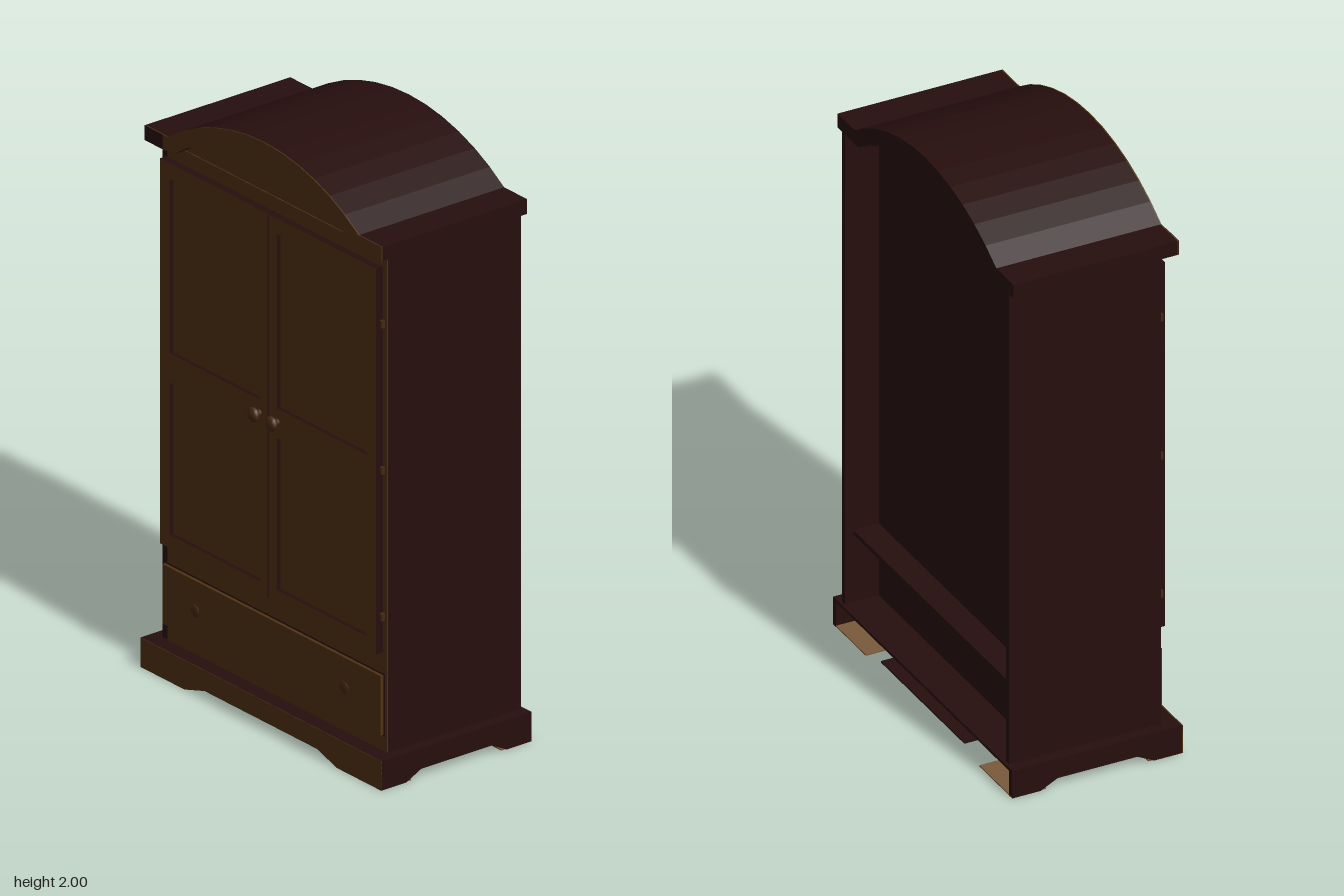
import * as THREE from 'three';

const mat = (name, color) => {
  const m = new THREE.MeshStandardMaterial({ color });
  m.name = name;
  return m;
};

export function createModel() {
  const wood = mat('golden brown wood', 0x4e3011);
  const dark = mat('dark red wood', 0x270e0e);
  const light = mat('pale foot wood', 0x7a5a3c);
  const knobWood = mat('knob wood', 0x452813);
  const root = new THREE.Group();

  const add = (name, geo, material, parent = root) => {
    const mesh = new THREE.Mesh(geo, material);
    mesh.name = name;
    parent.add(mesh);
    return mesh;
  };
  // Box given by its minimum and maximum corners
  const box = (name, a, b, material, parent = root) => {
    const g = new THREE.BoxGeometry(b[0] - a[0], b[1] - a[1], b[2] - a[2]);
    g.translate((a[0] + b[0]) / 2, (a[1] + b[1]) / 2, (a[2] + b[2]) / 2);
    return add(name, g, material, parent);
  };
  const poly = (pts) => new THREE.Shape(pts.map(([x, y]) => new THREE.Vector2(x, y)));
  const rect = (x0, y0, x1, y1) => poly([[x0, y0], [x1, y0], [x1, y1], [x0, y1]]);
  const extrude = (shape, z0, z1) =>
    new THREE.ExtrudeGeometry(shape, { depth: z1 - z0, bevelEnabled: false }).translate(0, 0, z0);

  // Carcass: closed core with side walls running on behind the back panel
  box('carcass', [-0.56, 0.1, -0.17], [0.56, 1.8, 0.24], dark);
  for (const s of [-1, 1]) {
    const x = s * 0.55;
    box('sideWall', [x - 0.01, 0.1, -0.29], [x + 0.01, 1.8, -0.17], dark);
  }
  box('backRail', [-0.54, 0.345, -0.26], [0.54, 0.36, -0.17], dark);
  box('frontFrame', [-0.535, 0.1, 0.24], [0.56, 1.8, 0.244], wood);
  box('leftEdgeStrip', [-0.56, 0.1, 0.24], [-0.535, 1.8, 0.244], dark);

  // Plinth: shaped skirts on three sides, open at the back
  const skirt = (w, foot, notch) => poly([
    [-w, 0], [-foot, 0], [-notch, 0.03], [notch, 0.03], [foot, 0], [w, 0], [w, 0.1], [-w, 0.1],
  ]);
  add('frontSkirt', extrude(skirt(0.6, 0.38, 0.28), 0.275, 0.296), dark);
  add('frontSkirtFace', extrude(skirt(0.6, 0.38, 0.28), 0.296, 0.3), wood);
  for (const s of [-1, 1]) {
    const g = extrude(skirt(0.3, 0.2, 0.14), -0.01, 0.01).rotateY(Math.PI / 2);
    add('sideSkirt', g, dark).position.x = s * 0.59;
    box('plinthUndersideEnd', [s > 0 ? 0.28 : -0.58, 0.03, -0.14], [s > 0 ? 0.58 : -0.28, 0.035, 0.14], dark);
    for (const t of [-1, 1]) {
      box('footPad', [s > 0 ? 0.38 : -0.598, 0.001, t > 0 ? 0.18 : -0.3],
        [s > 0 ? 0.598 : -0.38, 0.005, t > 0 ? 0.298 : -0.18], light);
    }
  }
  box('plinthUnderside', [-0.28, 0.03, -0.3], [0.28, 0.035, 0.275], dark);
  box('plinthTop', [-0.6, 0.09, -0.3], [0.6, 0.1, 0.298], dark);

  // Crown: cornice ends joined by a hollow arch, with a recessed infill
  const arc = (halfWidth, yEnd, yTop, n) => {
    const rise = yTop - yEnd;
    const r = (halfWidth * halfWidth + rise * rise) / (2 * rise);
    const a = Math.asin(halfWidth / r);
    return Array.from({ length: n + 1 }, (_, i) => {
      const t = a - (2 * a * i) / n;
      return [r * Math.sin(t), yTop - r + r * Math.cos(t)];
    });
  };
  const outer = arc(0.475, 1.85, 2, 12);
  const inner = arc(0.45, 1.8, 1.945, 12);
  const crown = poly([
    [0.59, 1.8], [0.59, 1.85], ...outer, [-0.59, 1.85], [-0.59, 1.8], ...inner.slice().reverse(),
  ]);
  add('crown', extrude(crown, -0.29, 0.286), dark);
  add('crownFace', extrude(crown, 0.286, 0.29), wood);
  box('crownLeftEnd', [-0.59, 1.8, 0.29], [-0.5, 1.85, 0.2915], dark);
  add('archInfill', extrude(poly(inner), 0.236, 0.24), [wood, dark]);
  add('archInfillBack', extrude(poly(inner), 0.23, 0.236), dark);

  // Turned knob pointing forwards
  const knob = (name, x, y, z, r, length, material) => {
    const profile = [[0.5, 0], [0.45, 0.4], [0.95, 0.55], [1, 0.75], [0.7, 0.95], [0, 1]];
    const g = new THREE.LatheGeometry(
      profile.map(([a, b]) => new THREE.Vector2(a * r, b * length)), 16).rotateX(Math.PI / 2);
    add(name, g, material).position.set(x, y, z);
  };

  // Doors: frames with two sunken panels each
  for (const s of [-1, 1]) {
    const span = (a, b) => (s > 0 ? [a, b] : [-b, -a]);
    const [x0, x1] = span(0.004, 0.538);
    const [p0, p1] = span(0.042, 0.492);
    const door = new THREE.Group();
    door.name = s > 0 ? 'leftDoor' : 'rightDoor';
    root.add(door);
    const frame = rect(x0, 0.435, x1, 1.75);
    frame.holes.push(rect(p0, 1.1, p1, 1.695), rect(p0, 0.48, p1, 1.0));
    add('doorFrame', extrude(frame, 0.244, 0.27), [wood, dark], door);
    box('doorPanel', [p0, 0.48, 0.244], [p1, 1.695, 0.254], wood, door);
    knob('doorKnob', s * 0.045, 1.055, 0.268, 0.025, 0.037, knobWood);
    for (const y of [0.56, 1.06, 1.56]) {
      const [h0, h1] = span(0.538, 0.55);
      box('hinge', [h0, y - 0.012, 0.244], [h1, y + 0.012, 0.258], knobWood, door);
    }
    knob('drawerKnob', s * 0.372, 0.262, 0.256, 0.021, 0.012, knobWood);
  }
  box('doorGap', [-0.004, 0.435, 0.244], [0.004, 1.75, 0.246], dark);

  // Drawer front with a narrow shadow gap around it
  box('drawerGap', [-0.548, 0.15, 0.244], [0.548, 0.364, 0.2455], dark);
  box('drawerFront', [-0.543, 0.155, 0.244], [0.543, 0.359, 0.257], wood);

  return root;
}
